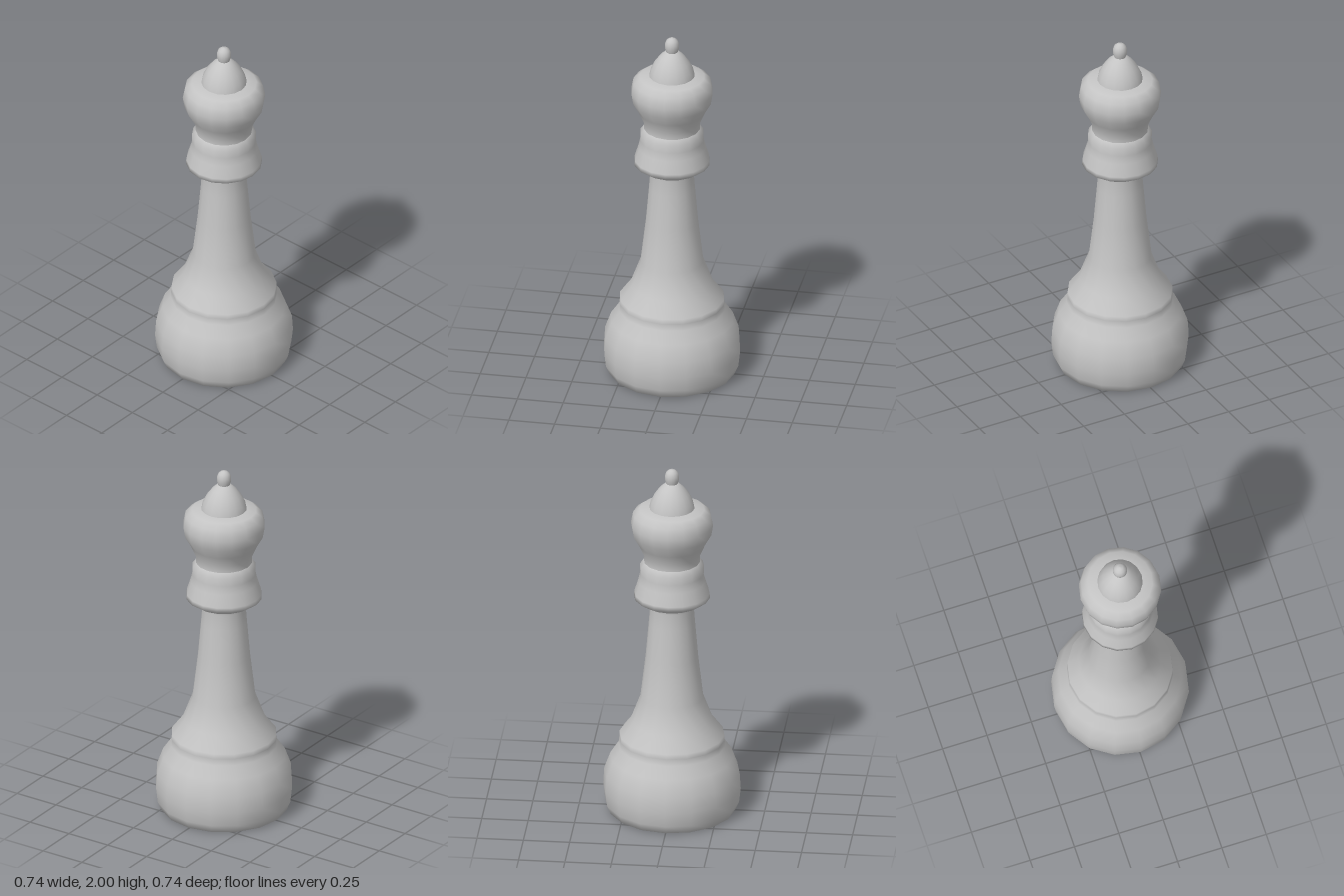
import * as THREE from 'three';

const SIDES = 16;

// Each part is a turned profile of [radius, height] points, from bottom to top.
const PROFILES = {
  base: [
    [0, 0.008], [0.3, 0.008], [0.342, 0.012], [0.362, 0.05], [0.371, 0.13], [0.365, 0.22],
    [0.332, 0.31], [0.287, 0.375], [0.284, 0.41],
  ],
  stem: [
    [0.284, 0.41], [0.283, 0.44], [0.222, 0.52], [0.17, 0.66], [0.142, 0.9],
    [0.125, 1.1], [0.118, 1.19], [0.125, 1.215],
  ],
  collar: [
    [0.11, 1.213], [0.165, 1.223], [0.205, 1.25], [0.203, 1.275], [0.181, 1.345],
    [0.171, 1.39], [0.173, 1.435], [0.152, 1.462],
  ],
  crown: [
    [0.152, 1.462], [0.152, 1.5], [0.178, 1.56], [0.212, 1.62], [0.222, 1.68], [0.21, 1.74],
    [0.175, 1.768], [0.12, 1.776],
  ],
  dome: [
    [0.123, 1.772], [0.115, 1.81], [0.093, 1.855], [0.065, 1.892], [0.035, 1.918], [0, 1.925],
  ],
  finial: [
    [0.03, 1.915], [0.038, 1.94], [0.038, 1.965], [0.03, 1.986], [0.016, 1.997], [0, 2],
  ],
};

export function createModel() {
  const model = new THREE.Group();
  model.name = 'chessQueen';
  const grey = new THREE.MeshStandardMaterial({ color: 0xc4c4c4 });
  grey.name = 'paleGrey';

  for (const [name, profile] of Object.entries(PROFILES)) {
    const points = profile.map(([r, y]) => new THREE.Vector2(r, y));
    // Rest the base exactly on the ground
    if (name === 'base') points.slice(0, 3).forEach((p) => { p.y -= 0.008; });
    const mesh = new THREE.Mesh(new THREE.LatheGeometry(points, SIDES), grey);
    mesh.name = name;
    model.add(mesh);
  }
  return model;
}
